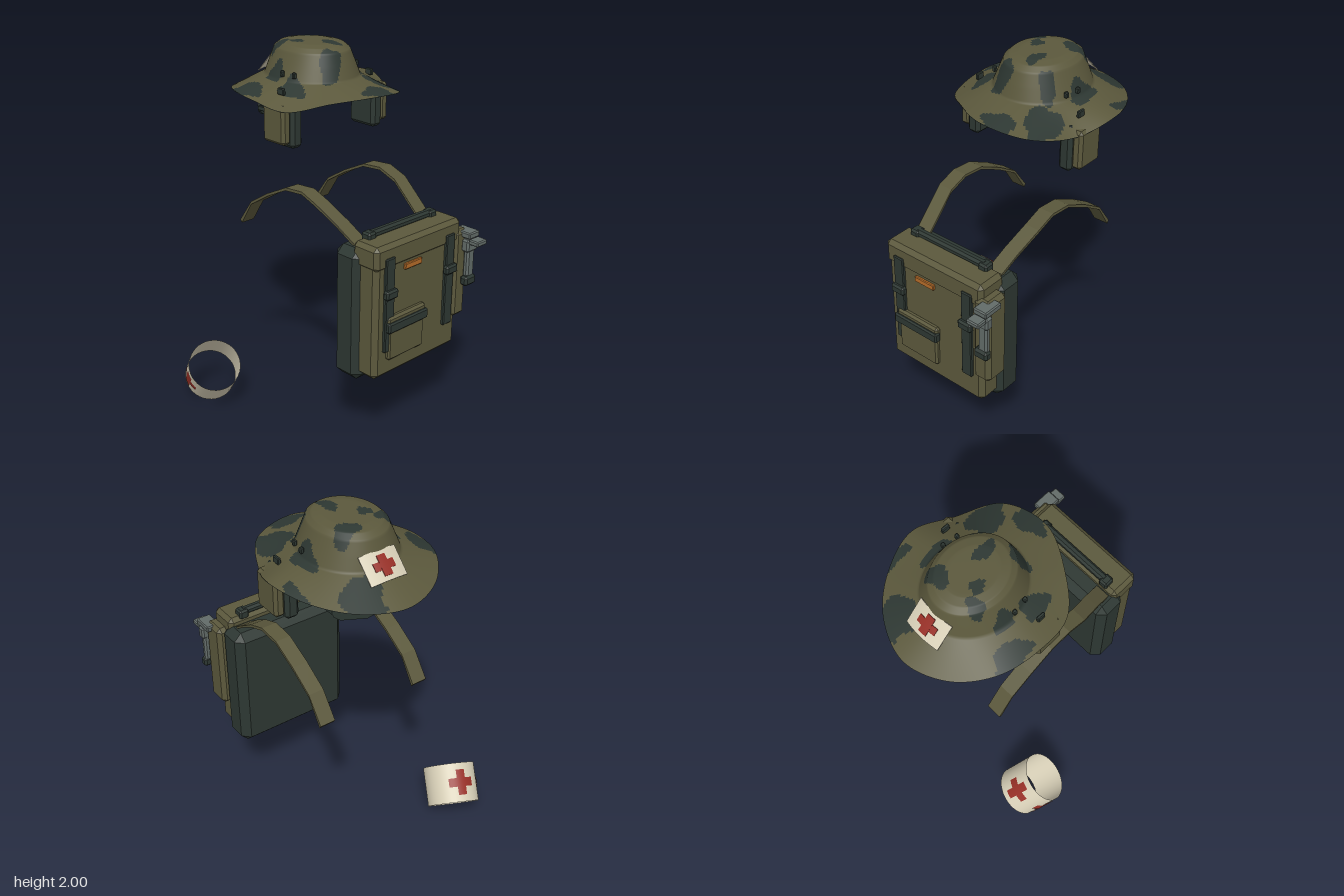
import * as THREE from 'three';
import { ConvexGeometry } from 'three/addons/geometries/ConvexGeometry.js';

const mat = (name, color) => {
  const m = new THREE.MeshStandardMaterial({ color, side: THREE.DoubleSide });
  m.name = name;
  return m;
};

export function createModel() {
  const olive = mat('olive', 0x5b583c), dark = mat('darkGreen', 0x2d3732), cloth = mat('cloth', 0xd6ceb6);
  const red = mat('red', 0x962f26), grey = mat('grey', 0x626b68), orange = mat('orange', 0xb56c28);
  const root = new THREE.Group();
  const group = (name) => {
    const g = new THREE.Group();
    g.name = name;
    root.add(g);
    return g;
  };
  const add = (parent, name, geo, m) => {
    const mesh = new THREE.Mesh(geo, m);
    mesh.name = name;
    parent.add(mesh);
    return mesh;
  };
  // Chamfered box given by its limits on each axis
  const block = (parent, name, m, x0, x1, y0, y1, z0, z1, c = 0.01) => {
    const h = [(x1 - x0) / 2, (y1 - y0) / 2, (z1 - z0) / 2];
    const pts = [];
    for (const sx of [-1, 1]) for (const sy of [-1, 1]) for (const sz of [-1, 1])
      for (let k = 0; k < 3; k++) {
        const i = (a) => h[a] - (a === k ? 0 : c);
        pts.push(new THREE.Vector3(sx * i(0), sy * i(1), sz * i(2)));
      }
    const mesh = add(parent, name, new ConvexGeometry(pts), m);
    mesh.position.set((x0 + x1) / 2, (y0 + y1) / 2, (z0 + z1) / 2);
    return mesh;
  };

  // ---- Hat: crown rings, then a wavy brim out to a closed edge curve ----
  const hat = group('hat');
  const CX = 0.157, CZ = -0.235, N = 160;
  const edgeR = [0.426, 0.412, 0.47, 0.465, 0.425, 0.437, 0.407, 0.418, 0.437, 0.457, 0.435, 0.418];
  const edgeY = [1.775, 1.73, 1.76, 1.785, 1.77, 1.73, 1.755, 1.76, 1.735, 1.725, 1.735, 1.755];
  const edge = new THREE.CatmullRomCurve3(edgeR.map((r, i) => {
    const a = i * Math.PI / 6;
    return new THREE.Vector3(CX + r * Math.cos(a), edgeY[i], CZ + r * Math.sin(a));
  }), true);
  const crown = [[2, 0, 0], [2, 0.11, 0.135], [1.99, 0.155, 0.185], [1.967, 0.18, 0.218], [1.9, 0.208, 0.242], [1.83, 0.238, 0.265]];
  const crownPoint = (t, a) => {
    const i = Math.min(Math.floor(t), 4), f = t - i;
    const [y, rx, rz] = crown[i].map((v, k) => v + (crown[i + 1][k] - v) * f);
    return new THREE.Vector3(CX + rx * Math.cos(a), y, CZ + rz * Math.sin(a));
  };
  const brimPoint = (k, j) => crownPoint(5, j / N * 2 * Math.PI).lerp(edge.getPoint(j / N), k);
  // Camouflage blobs: x, z, radius x, radius z
  const blobs = [[0.31, -0.58, 0.1, 0.12], [0.54, -0.38, 0.035, 0.1], [-0.19, -0.34, 0.06, 0.11], [-0.1, -0.1, 0.055, 0.085],
    [0.38, 0.05, 0.09, 0.11], [0.22, 0.18, 0.1, 0.06], [0.4, -0.24, 0.04, 0.1], [0.08, -0.02, 0.06, 0.045],
    [0.03, -0.34, 0.05, 0.04], [0.09, -0.27, 0.035, 0.04], [0.25, -0.36, 0.07, 0.05], [0.19, -0.13, 0.035, 0.07],
    [0.31, -0.07, 0.04, 0.04], [-0.07, -0.27, 0.03, 0.06]];
  const isCamo = (x, z) => blobs.some(([bx, bz, rx, rz], i) => {
    const u = (x - bx) / rx, v = (z - bz) / rz, a = Math.atan2(v, u);
    return Math.hypot(u, v) < 0.95 + 0.13 * Math.sin(3 * a + i) + 0.07 * Math.sin(5 * a + 2 * i);
  });
  // Surface from rows of N points, faces sorted into two materials by position
  const surface = (rows, test) => {
    const pos = [], lists = [[], []];
    rows.forEach((row) => row.forEach((p) => pos.push(p.x, p.y, p.z)));
    for (let i = 0; i < rows.length - 1; i++) for (let j = 0; j < N; j++) {
      const n = (j + 1) % N, A = i * N + j, B = i * N + n, C = A + N, D = B + N;
      const mid = rows[i][j].clone().add(rows[i + 1][n]).multiplyScalar(0.5);
      lists[test(mid.x, mid.z) ? 1 : 0].push(A, B, D, A, D, C);
    }
    const g = new THREE.BufferGeometry();
    g.setAttribute('position', new THREE.Float32BufferAttribute(pos, 3));
    g.setIndex([...lists[0], ...lists[1]]);
    g.addGroup(0, lists[0].length, 0);
    g.addGroup(lists[0].length, lists[1].length, 1);
    g.computeVertexNormals();
    return g;
  };
  const ring = (f) => Array.from({ length: N }, (_, j) => f(j));
  const rows = [];
  for (let i = 0; i <= 35; i++) rows.push(ring((j) => crownPoint(i / 7, j / N * 2 * Math.PI)));
  for (let i = 1; i <= 20; i++) rows.push(ring((j) => brimPoint(i / 20, j)));
  add(hat, 'hatShell', surface(rows, isCamo), [olive, dark]);
  const under = [];
  for (let i = 0; i <= 8; i++) under.push(ring((j) => {
    const p = brimPoint(i / 8, j);
    p.y -= 0.003 + 0.01 * (1 - i / 8);
    return p;
  }));
  add(hat, 'brimUnderside', surface(under, () => true), [olive, dark]);
  for (const s of [-1, 1]) {
    for (const [z, x] of [[-0.13, 0.22], [-0.205, 0.232]])
      block(hat, 'eyelet', dark, CX + s * x - 0.01, CX + s * x + 0.01, 1.85, 1.88, z - 0.01, z + 0.01, 0.004);
    block(hat, 'brimLoop', dark, CX + s * 0.312 - 0.009, CX + s * 0.312 + 0.009, 1.785, 1.82, -0.145, -0.1, 0.004);
  }
  // Medic patch sloping from the crown to the brim
  const patch = group('medicPatch');
  patch.position.set(0.16, 1.857, -0.515);
  patch.rotation.x = -Math.PI / 4;
  const plate = (name, w, d, y, m) => {
    const g = new THREE.BoxGeometry(w, 0.004, d, 12, 1, 1), p = g.attributes.position;
    for (let i = 0; i < p.count; i++) p.setY(i, p.getY(i) + y - 1.6 * p.getX(i) ** 2);
    g.computeVertexNormals();
    add(patch, name, g, m);
  };
  plate('patchCloth', 0.2, 0.145, 0.006, cloth);
  plate('patchCrossBar', 0.11, 0.04, 0.009, red);
  plate('patchCrossPost', 0.045, 0.1, 0.0095, red);

  // ---- Ear pouches under the hat ----
  const ears = group('earPouches');
  for (const s of [-1, 1]) {
    const span = (a, b) => [0.16 + s * a, 0.16 + s * b].sort((p, q) => p - q);
    block(ears, 'innerPouch', dark, ...span(0.25, 0.325), 1.52, 1.765, -0.215, -0.032, 0.018);
    block(ears, 'outerPouch', olive, ...span(0.32, 0.378), 1.545, 1.75, -0.202, -0.043, 0.015);
  }

  // ---- Sunglasses facing the back ----
  const glasses = group('sunglasses');
  const outline = [[0, 1.657], [0.012, 1.685], [0.1, 1.7], [0.205, 1.692], [0.235, 1.657], [0.228, 1.62], [0.195, 1.597], [0.07, 1.595], [0.028, 1.617]];
  for (const s of [-1, 1]) {
    const shape = new THREE.Shape(outline.map(([x, y]) => new THREE.Vector2(s * x, y)));
    const lens = add(glasses, 'lens', new THREE.ExtrudeGeometry(shape, { depth: 0.012, bevelEnabled: false }), dark);
    lens.position.set(0.16 + s * 0.01, 0, -0.53);
    lens.rotation.y = -s * 0.46;
    const ax = 0.16 + s * 0.21;
    block(glasses, 'templeArm', dark, ax - 0.008, ax + 0.008, 1.627, 1.653, -0.43, -0.26, 0.004);
  }
  block(glasses, 'bridge', dark, 0.14, 0.18, 1.65, 1.668, -0.532, -0.516, 0.004);

  // ---- Backpack ----
  const pack = group('backpack');
  block(pack, 'backPanel', dark, -0.2, 0.475, 0.4, 1.125, 0.29, 0.475, 0.042);
  block(pack, 'mainBag', olive, -0.17, 0.45, 0.44, 1.14, 0.4, 0.57, 0.025);
  block(pack, 'topFlap', olive, -0.175, 0.452, 1.035, 1.167, 0.405, 0.577, 0.022);
  block(pack, 'pullTab', orange, 0.025, 0.15, 1.005, 1.037, 0.565, 0.583, 0.004);
  block(pack, 'carryHandle', dark, -0.085, 0.365, 1.16, 1.2, 0.415, 0.458, 0.012);
  for (const s of [-1, 1]) {
    const hx = 0.137 + s * 0.222, bx = 0.14 + s * 0.222;
    block(pack, 'handleMount', dark, hx - 0.028, hx + 0.028, 1.145, 1.198, 0.405, 0.465, 0.01);
    block(pack, 'closingStrap', dark, bx - 0.032, bx + 0.032, 0.59, 1.1, 0.56, 0.587, 0.005);
    block(pack, 'buckle', dark, bx - 0.042, bx + 0.042, 0.885, 0.935, 0.57, 0.607, 0.01);
  }
  block(pack, 'frontPocket', olive, -0.09, 0.168, 0.54, 0.735, 0.56, 0.593, 0.01);
  block(pack, 'pocketFlap', olive, -0.1, 0.175, 0.72, 0.783, 0.56, 0.597, 0.012);
  block(pack, 'pocketBand', dark, -0.107, 0.18, 0.7, 0.756, 0.57, 0.61, 0.008);
  block(pack, 'sidePouch', olive, 0.4, 0.505, 0.605, 1.1, 0.445, 0.585, 0.022);

  // Shoulder straps arching backwards, leaning inward near the bag
  const path = [[0.41, 1.11], [0.29, 1.195], [0.165, 1.277], [0.055, 1.317], [-0.07, 1.307], [-0.215, 1.237], [-0.35, 1.155], [-0.447, 1.025]];
  const lower = path.map(([z, y], i) => [z + (i === 7 ? 0.012 : 0), y - 0.008]).reverse();
  const strapShape = new THREE.Shape([...path.map(([z, y]) => [z, y + 0.008]), ...lower].map((p) => new THREE.Vector2(...p)));
  for (const s of [-1, 1]) {
    const g = new THREE.ExtrudeGeometry(strapShape, { depth: 0.084, bevelEnabled: false });
    g.rotateY(-Math.PI / 2).translate(0.14 + s * 0.282 + 0.042, 0, 0);
    const p = g.attributes.position;
    for (let i = 0; i < p.count; i++) {
      const lean = THREE.MathUtils.clamp((p.getZ(i) - 0.165) / 0.225, 0, 1);
      p.setX(i, p.getX(i) - s * 0.045 * lean);
    }
    g.computeVertexNormals();
    add(pack, 'shoulderStrap', g, olive);
  }

  // ---- Angled torch clipped to the side pouch ----
  const torch = group('torch');
  block(torch, 'torchHead', grey, 0.45, 0.53, 1.058, 1.092, 0.52, 0.635, 0.006);
  block(torch, 'torchLens', grey, 0.452, 0.528, 1.03, 1.058, 0.625, 0.688, 0.006);
  block(torch, 'torchCollar', grey, 0.45, 0.53, 0.98, 1.05, 0.58, 0.628, 0.01);
  block(torch, 'torchBody', grey, 0.465, 0.52, 0.83, 1.06, 0.585, 0.62, 0.01);
  block(torch, 'torchBase', dark, 0.445, 0.528, 0.79, 0.845, 0.585, 0.632, 0.012);

  // ---- Armband: tilted open ring with two crosses ----
  const band = group('armband');
  const R = 0.143;
  const axis = new THREE.Vector3(-0.32, 0.69, 0.65).normalize();
  const out = new THREE.Vector3(0.12, 0.7, -0.69);
  out.addScaledVector(axis, -out.dot(axis)).normalize();
  band.setRotationFromMatrix(new THREE.Matrix4().makeBasis(axis.clone().cross(out), axis, out));
  band.position.set(-0.415, 0.181, -0.45);
  add(band, 'bandCloth', new THREE.CylinderGeometry(R, R, 0.216, 40, 1, true), cloth);
  for (const a of [0, Math.PI / 2]) {
    const arc = (name, r, h, w) =>
      add(band, name, new THREE.CylinderGeometry(r, r, h, 10, 1, true, a - w / 2, w), red);
    arc('bandCrossBar', R + 0.003, 0.048, 0.98);
    arc('bandCrossPost', R + 0.0035, 0.14, 0.34);
  }
  return root;
}
